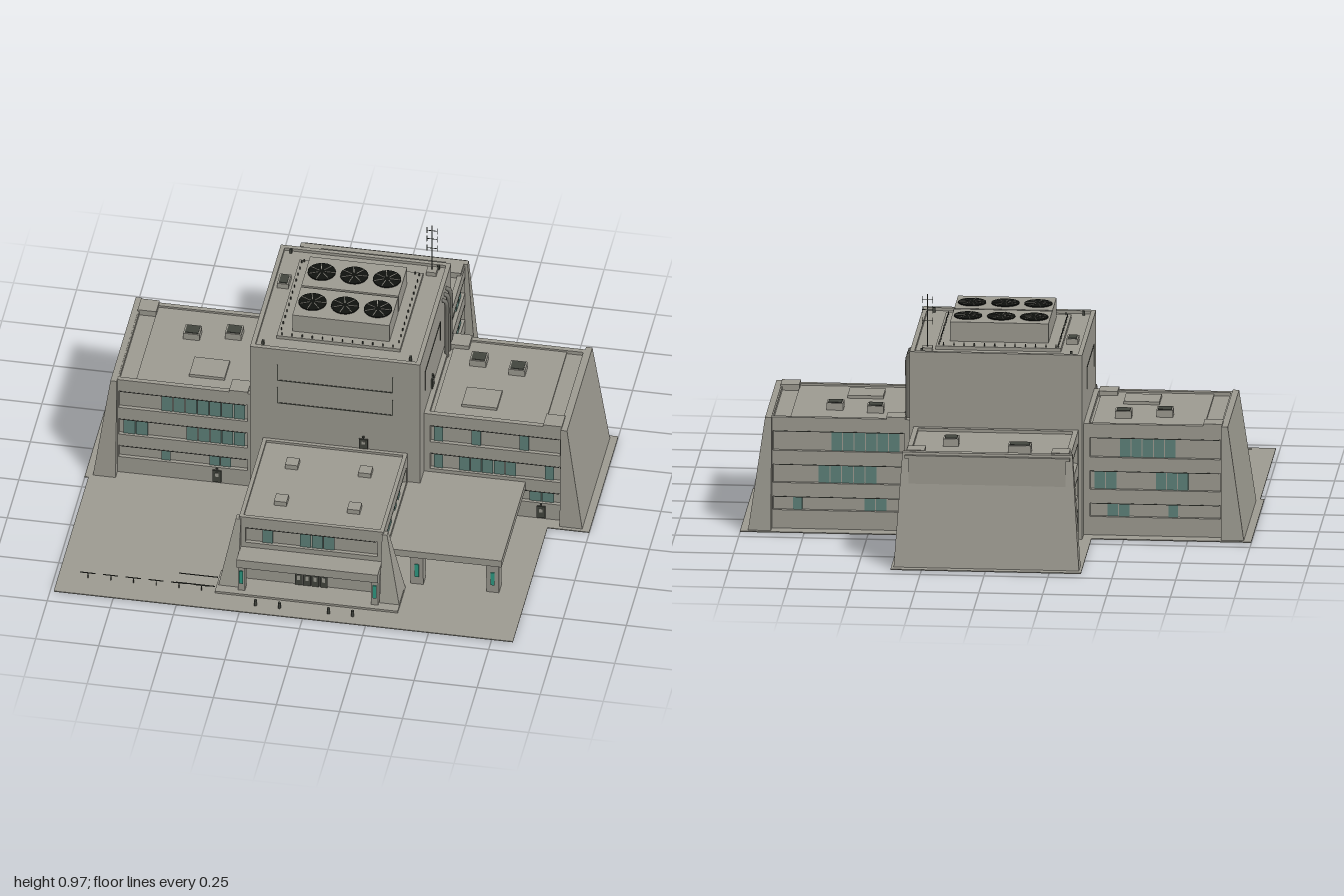
import * as THREE from 'three';

const mat = (name, color) => {
  const m = new THREE.MeshStandardMaterial({ color });
  m.name = name;
  return m;
};

export function createModel() {
  const root = new THREE.Group();
  root.name = 'officeComplex';
  const wall = mat('concrete', 0x9f9d93);
  const glass = mat('windowGlass', 0x5f837b);
  const teal = mat('tealAccent', 0x2f9c84);
  const dark = mat('darkMetal', 0x43463f);
  const black = mat('fanBlack', 0x10120f);
  const metal = mat('pipeMetal', 0x6c6b64);

  const add = (parent, name, geo, m) => {
    const mesh = new THREE.Mesh(geo, m);
    mesh.name = name;
    parent.add(mesh);
    return mesh;
  };
  // Box given by its limits on each axis
  const box = (parent, name, m, x0, x1, y0, y1, z0, z1) => {
    const mesh = add(parent, name, new THREE.BoxGeometry(x1 - x0, y1 - y0, z1 - z0), m);
    mesh.position.set((x0 + x1) / 2, (y0 + y1) / 2, (z0 + z1) / 2);
    return mesh;
  };
  // Tapered block between two rectangles [x0, x1, z0, z1]
  const taper = (parent, name, m, y0, y1, low, high) => {
    const geo = new THREE.BoxGeometry(1, 1, 1);
    const p = geo.attributes.position;
    for (let i = 0; i < p.count; i++) {
      const r = p.getY(i) > 0 ? high : low;
      p.setXYZ(i, r[p.getX(i) > 0 ? 1 : 0], p.getY(i) > 0 ? y1 : y0, r[p.getZ(i) > 0 ? 3 : 2]);
    }
    geo.computeVertexNormals();
    return add(parent, name, geo, m);
  };
  // Facade with recessed window bands; rows = [y0, y1, [paneStart, paneEnd, count]...]
  const facade = (name, turn, d, u0, u1, top, rows) => {
    const g = new THREE.Group();
    g.name = name;
    g.rotation.y = turn;
    root.add(g);
    const depth = 0.016;
    let y = 0.005;
    for (const [y0, y1, ...panes] of rows) {
      box(g, 'spandrel', wall, u0, u1, y, y0, d - depth, d);
      box(g, 'pierLeft', wall, u0, u0 + 0.025, y0, y1, d - depth, d);
      box(g, 'pierRight', wall, u1 - 0.025, u1, y0, y1, d - depth, d);
      box(g, 'bandShadowLine', dark, u0 + 0.03, u1 - 0.03, y1 - 0.003, y1, d - depth, d + 0.001);
      for (const [a, b, n] of panes) {
        const w = (b - a) / n;
        for (let i = 0; i < n; i++)
          box(g, 'windowPane', glass, a + i * w + 0.002, a + (i + 1) * w - 0.002, y0, y1 - 0.003, d - depth, d - depth + 0.005);
      }
      y = y1;
    }
    box(g, 'topSpandrel', wall, u0, u1, y, top, d - depth, d);
    return g;
  };
  // Raised rim around a flat roof
  const parapet = (x0, x1, z0, z1, y, h, t = 0.02) => {
    box(root, 'parapet', wall, x0, x1, y, y + h, z0, z0 + t);
    box(root, 'parapet', wall, x0, x1, y, y + h, z1 - t, z1);
    box(root, 'parapet', wall, x0, x0 + t, y, y + h, z0 + t, z1 - t);
    box(root, 'parapet', wall, x1 - t, x1, y, y + h, z0 + t, z1 - t);
  };
  const vent = (x, z, w, d, y, h = 0.03) => {
    box(root, 'roofVent', wall, x - w / 2, x + w / 2, y, y + h, z - d / 2, z + d / 2);
    box(root, 'ventGrille', dark, x - w / 2 + 0.006, x + w / 2 - 0.006, y + h, y + h + 0.003, z - d / 2 + 0.006, z + d / 2 - 0.006);
  };
  // Door with small glazed panel and lamp, turned to face outward
  const door = (turn, u, d, y, h = 0.055) => {
    const g = new THREE.Group();
    g.name = 'serviceDoor';
    g.rotation.y = turn;
    root.add(g);
    box(g, 'doorLeaf', dark, u - 0.017, u + 0.017, y, y + h, d, d + 0.006);
    box(g, 'doorPanel', wall, u - 0.007, u + 0.007, y + h * 0.5, y + h * 0.8, d + 0.006, d + 0.008);
    box(g, 'doorLamp', dark, u - 0.004, u + 0.004, y + h + 0.008, y + h + 0.014, d, d + 0.008);
  };
  const R = Math.PI / 2;

  // Ground slabs and coloured underside
  box(root, 'forecourtSlab', wall, -0.985, 0.835, 0.002, 0.006, 0.19, 0.94);
  box(root, 'crossSlab', wall, -1, 1, 0.002, 0.006, -0.44, 0.19);
  box(root, 'rearSlab', wall, -0.375, 0.37, 0.002, 0.006, -0.95, -0.44);
  box(root, 'floorAcross', teal, -0.95, 0.95, 0, 0.002, -0.4, 0.15);
  box(root, 'floorRear', teal, -0.33, 0.325, 0, 0.002, -0.9, -0.4);
  box(root, 'floorFront', teal, -0.28, 0.28, 0, 0.002, 0.15, 0.7);

  // Central tower
  box(root, 'tower', wall, -0.34, 0.335, 0.005, 0.738, -0.455, 0.215);
  parapet(-0.34, 0.335, -0.455, 0.215, 0.738, 0.012, 0.018);
  box(root, 'coolingPlatform', wall, -0.25, 0.24, 0.738, 0.752, -0.37, 0.13);
  for (const x of [-0.295, 0.29]) for (const z of [-0.425, 0.175])
    box(root, 'roofLamp', dark, x - 0.005, x + 0.005, 0.738, 0.757, z - 0.005, z + 0.005);
  for (let i = 0; i < 12; i++) {
    const t = -0.23 + i * 0.04;
    for (const z of [-0.36, 0.12]) box(root, 'railPost', dark, t - 0.002, t + 0.002, 0.752, 0.764, z, z + 0.004);
    for (const x of [-0.24, 0.226]) box(root, 'railPost', dark, x, x + 0.004, 0.752, 0.764, t - 0.122, t - 0.118);
  }
  vent(-0.285, -0.225, 0.045, 0.065, 0.738, 0.022);
  // Tower wall panel grooves
  for (const y of [0.49, 0.60]) {
    box(root, 'panelLine', dark, -0.23, 0.225, y - 0.002, y + 0.002, 0.215, 0.217);
    for (const x of [-0.23, 0.225]) box(root, 'panelLine', dark, x - 0.002, x + 0.002, y, y + 0.075, 0.215, 0.217);
  }
  for (const x of [-0.341, 0.336]) {
    box(root, 'panelLine', dark, x - 0.001, x + 0.001, 0.637, 0.641, -0.22, 0.11);
    for (const z of [-0.22, 0.11]) box(root, 'panelLine', dark, x - 0.001, x + 0.001, 0.55, 0.64, z - 0.002, z + 0.002);
  }
  door(0, 0.11, 0.215, 0.315, 0.045);
  door(R, 0.04, 0.335, 0.458, 0.045);

  // Cooling units with fans
  for (const [z0, z1] of [[-0.295, -0.105], [-0.095, 0.09]]) {
    box(root, 'coolingUnit', wall, -0.195, 0.19, 0.752, 0.83, z0, z1);
    for (const x of [-0.132, -0.003, 0.127]) {
      const fan = new THREE.Group();
      fan.name = 'fan';
      fan.position.set(x, 0.832, (z0 + z1) / 2 - 0.003);
      root.add(fan);
      add(fan, 'fanDisc', new THREE.CylinderGeometry(0.055, 0.055, 0.004, 24), black);
      for (let k = 0; k < 7; k++) {
        const spoke = box(fan, 'fanBladeEdge', wall, 0.012, 0.052, 0.002, 0.004, -0.0015, 0.0015);
        const a = (k / 7) * Math.PI * 2;
        spoke.position.set(Math.cos(a) * 0.032, 0.003, -Math.sin(a) * 0.032);
        spoke.rotation.y = a;
      }
    }
  }

  // Side wings
  for (const s of [-1, 1]) {
    const a = s < 0 ? -0.895 : 0.335, b = s < 0 ? -0.34 : 0.895;
    box(root, 'wingCore', wall, a, b, 0.005, 0.44, -0.369, 0.119);
    parapet(a, b, -0.385, 0.135, 0.44, 0.015);
    const xs = (p, q) => (s < 0 ? [-q, -p] : [p, q]);
    taper(root, 'slopedEndWall', wall, 0.005, 0.457, [...xs(0.88, 0.97), -0.425, 0.175], [...xs(0.88, 0.905), -0.4, 0.15]);
    box(root, 'roofPanel', wall, s * 0.59 - 0.22, s * 0.59 + 0.22, 0.44, 0.447, -0.385 + 0.02, 0.115);
    box(root, 'roofHatch', wall, s * 0.54 - 0.07, s * 0.54 + 0.07, 0.44, 0.459, -0.06, 0.055);
    vent(s * 0.485, -0.24, 0.065, 0.06, 0.445);
    vent(s * 0.645, -0.21, 0.065, 0.06, 0.445);
    const cx = s < 0 ? [-0.845, -0.4] : [0.395, 0.845];
    box(root, 'cornerBlock', wall, cx[0] - 0.037, cx[0] + 0.037, 0.44, 0.464, -0.386, -0.312);
    box(root, 'cornerBlock', wall, cx[1] - 0.037, cx[1] + 0.037, 0.44, 0.464, 0.062, 0.136);
  }
  const r1 = [0.08, 0.135], r2 = [0.19, 0.265], r3 = [0.32, 0.4];
  facade('leftWingFront', 0, 0.135, -0.9, -0.34, 0.455, [
    [...r1, [-0.71, -0.67, 1], [-0.52, -0.43, 2]],
    [...r2, [-0.86, -0.76, 2], [-0.61, -0.375, 5]],
    [...r3, [-0.71, -0.375, 7]]]);
  facade('rightWingFront', 0, 0.135, 0.335, 0.9, 0.455, [
    [...r1, [0.75, 0.85, 2]],
    [...r2, [0.37, 0.41, 1], [0.47, 0.7, 5], [0.81, 0.85, 1]],
    [...r3, [0.37, 0.41, 1], [0.52, 0.56, 1], [0.71, 0.75, 1]]]);
  facade('leftWingBack', Math.PI, 0.385, 0.34, 0.9, 0.455, [
    [...r1, [0.43, 0.52, 2], [0.67, 0.71, 1]],
    [...r2, [0.38, 0.47, 2], [0.62, 0.75, 3]],
    [...r3, [0.48, 0.7, 5]]]);
  facade('rightWingBack', Math.PI, 0.385, -0.9, -0.335, 0.455, [
    [...r1, [-0.52, -0.43, 2], [-0.8, -0.76, 1]],
    [...r2, [-0.7, -0.47, 5]],
    [...r3, [-0.65, -0.38, 6]]]);
  door(0, -0.485, 0.135, 0.012);
  door(0, 0.8, 0.135, 0.012);

  // Rear wing
  box(root, 'rearWingCore', wall, -0.309, 0.304, 0.005, 0.435, -0.88, -0.45);
  parapet(-0.325, 0.32, -0.88, -0.455, 0.435, 0.012);
  taper(root, 'slopedRearWall', wall, 0.005, 0.457, [-0.365, 0.36, -0.92, -0.84], [-0.335, 0.33, -0.865, -0.84]);
  facade('rearWingRight', R, 0.32, 0.455, 0.86, 0.445, [
    [...r1, [0.66, 0.75, 2]], [...r2, [0.71, 0.81, 2]], [...r3, [0.71, 0.81, 2]]]);
  facade('rearWingLeft', -R, 0.325, -0.86, -0.455, 0.445, [
    [...r1, [-0.62, -0.53, 2]], [...r2, [-0.81, -0.71, 2]], [...r3, [-0.72, -0.54, 4]]]);
  door(R, 0.72, 0.32, 0.012);
  vent(-0.12, -0.74, 0.09, 0.06, 0.435);
  vent(0.155, -0.66, 0.06, 0.06, 0.435);
  for (const x of [-0.285, 0.28]) box(root, 'cornerBlock', wall, x - 0.035, x + 0.035, 0.435, 0.46, -0.845, -0.775);

  // Front entrance wing
  box(root, 'frontWingCore', wall, -0.272, 0.269, 0.005, 0.302, 0.21, 0.719);
  parapet(-0.288, 0.285, 0.215, 0.735, 0.302, 0.01, 0.015);
  const f2 = [0.19, 0.262];
  facade('frontWingFront', 0, 0.735, -0.288, 0.285, 0.312, [[...f2, [-0.2, -0.155, 1], [-0.05, 0.09, 3]]]);
  facade('frontWingRight', R, 0.285, -0.72, -0.215, 0.312, [[...f2, [-0.59, -0.5, 2], [-0.43, -0.39, 1], [-0.36, -0.32, 1]]]);
  facade('frontWingLeft', -R, 0.288, 0.215, 0.72, 0.312, [[...f2, [0.32, 0.36, 1], [0.41, 0.59, 4]]]);
  for (const s of [-1, 1]) {
    const xs = (p, q) => (s < 0 ? [-q, -p] : [p, q]);
    taper(root, 'cornerButtress', wall, 0.005, 0.305, [...xs(0.28, 0.36), 0.67, 0.8], [...xs(0.28, 0.3), 0.715, 0.742]);
    box(root, 'canopyPost', wall, ...xs(0.25, 0.278), 0.01, 0.13, 0.785, 0.815);
    box(root, 'postLight', teal, ...xs(0.257, 0.272), 0.05, 0.11, 0.815, 0.82);
    for (const z of [0.36, 0.6]) box(root, 'skylight', wall, s * 0.145 - 0.025, s * 0.145 + 0.025, 0.302, 0.322, z - 0.025, z + 0.025);
  }
  box(root, 'entranceCanopy', wall, -0.282, 0.278, 0.13, 0.168, 0.73, 0.825);
  box(root, 'entranceStep', wall, -0.365, 0.36, 0.006, 0.015, 0.7, 0.84);
  for (let i = 0; i < 4; i++) {
    const x = -0.051 + i * 0.033;
    box(root, 'entranceDoor', dark, x - 0.015, x + 0.015, 0.015, 0.072, 0.735, 0.741);
    box(root, 'entranceDoorGlass', wall, x - 0.006, x + 0.006, 0.04, 0.062, 0.741, 0.743);
  }
  for (const x of [-0.195, -0.1, 0.095, 0.19])
    add(root, 'bollard', new THREE.CylinderGeometry(0.006, 0.006, 0.026, 10), dark).position.set(x, 0.019, 0.89);

  // Low railing on the left of the entrance
  for (const z of [0.77, 0.83]) box(root, 'rampRail', dark, -0.52, -0.365, 0.03, 0.033, z, z + 0.003);
  for (let i = 0; i < 6; i++) {
    const x = -0.9 + i * 0.09;
    box(root, 'fenceRail', dark, x, x + 0.06, 0.028, 0.031, 0.83, 0.833);
    box(root, 'fencePost', dark, x + 0.03, x + 0.033, 0.006, 0.03, 0.83, 0.833);
  }

  // Carport
  box(root, 'carportRoof', wall, 0.285, 0.738, 0.143, 0.174, 0.135, 0.655);
  for (const x of [0.4, 0.7]) {
    taper(root, 'carportPillar', wall, 0.006, 0.143, [x - 0.025, x + 0.025, 0.59, 0.64], [x - 0.025, x + 0.025, 0.575, 0.645]);
    box(root, 'pillarLight', teal, x - 0.008, x + 0.008, 0.045, 0.105, 0.64, 0.647);
  }

  // Pipes bending into the tower wall
  for (const z of [-0.265, -0.305, -0.345]) {
    const path = new THREE.CatmullRomCurve3([[0.352, 0.44], [0.352, 0.6], [0.352, 0.69], [0.346, 0.707], [0.325, 0.712]]
      .map(([x, y]) => new THREE.Vector3(x, y, z)));
    add(root, 'wallPipe', new THREE.TubeGeometry(path, 24, 0.009, 10), metal);
  }

  // Antenna mast with cross bars
  box(root, 'antennaBase', wall, 0.25, 0.29, 0.738, 0.756, -0.415, -0.375);
  box(root, 'antennaMast', dark, 0.268, 0.272, 0.75, 0.968, -0.397, -0.393);
  for (const y of [0.86, 0.905, 0.945]) {
    box(root, 'antennaBar', dark, 0.25, 0.29, y - 0.001, y + 0.001, -0.396, -0.394);
    for (const x of [0.25, 0.29]) box(root, 'antennaTip', dark, x - 0.001, x + 0.001, y - 0.014, y + 0.014, -0.396, -0.394);
  }
  return root;
}
